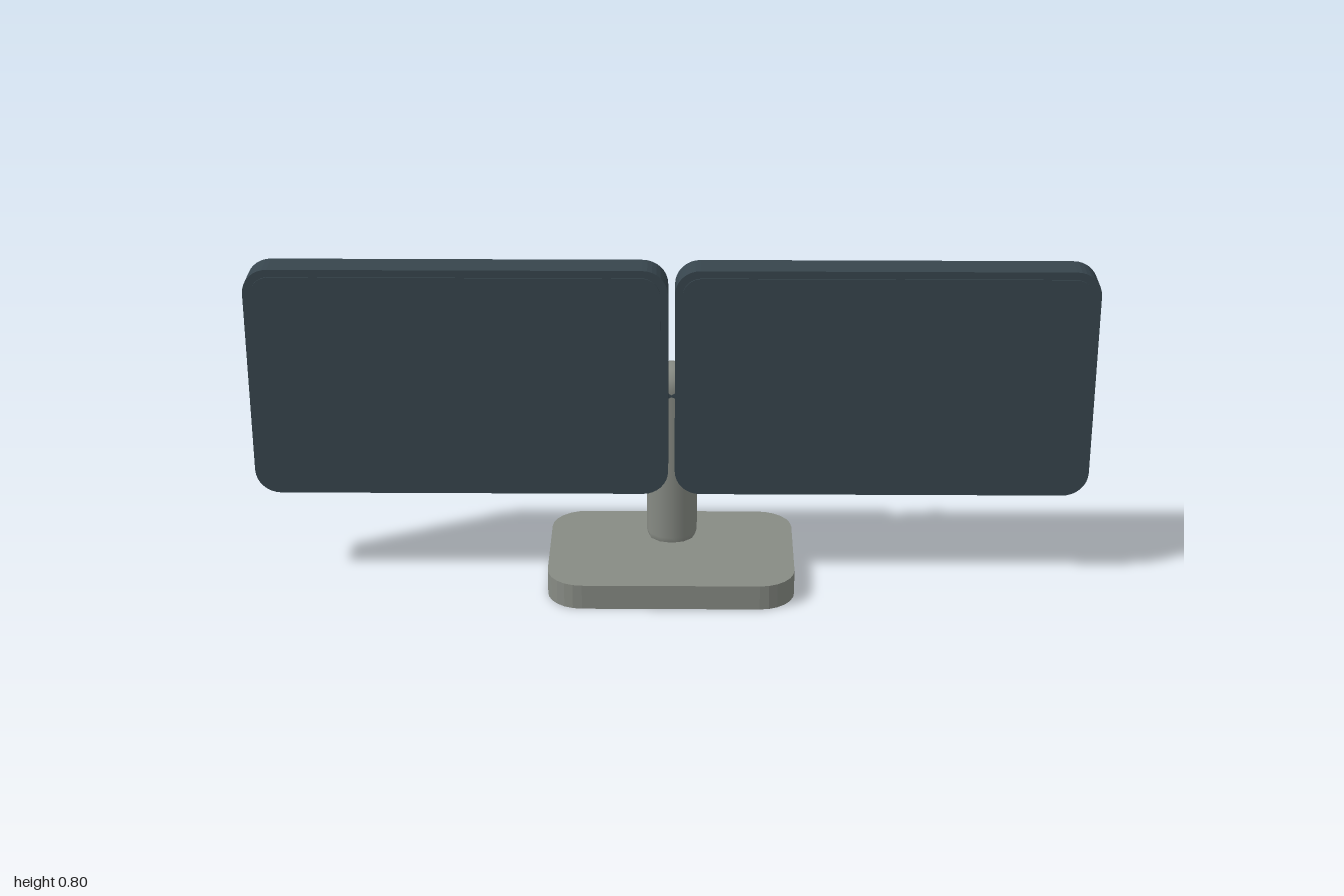
import * as THREE from 'three';

const charcoal = new THREE.MeshStandardMaterial({ color: 0x37454d });
charcoal.name = 'charcoal';
const warmGrey = new THREE.MeshStandardMaterial({ color: 0x878b84 });
warmGrey.name = 'warm grey';

// Rounded rectangle centred on the origin, extruded along z from 0 to depth
function roundedSlab(w, h, r, depth, segments) {
  const x = w / 2, y = h / 2;
  const s = new THREE.Shape();
  s.moveTo(-x + r, -y);
  s.lineTo(x - r, -y);
  s.absarc(x - r, -y + r, r, -Math.PI / 2, 0, false);
  s.absarc(x - r, y - r, r, 0, Math.PI / 2, false);
  s.absarc(-x + r, y - r, r, Math.PI / 2, Math.PI, false);
  s.absarc(-x + r, -y + r, r, Math.PI, Math.PI * 1.5, false);
  return new THREE.ExtrudeGeometry(s, { depth, bevelEnabled: false, curveSegments: segments });
}

function add(parent, name, geometry, material, x, y, z) {
  const mesh = new THREE.Mesh(geometry, material);
  mesh.name = name;
  mesh.position.set(x, y, z);
  parent.add(mesh);
  return mesh;
}

export function createModel() {
  const model = new THREE.Group();
  model.name = 'dualMonitorStand';

  // Foot plate lying flat
  const base = roundedSlab(0.594, 0.4, 0.085, 0.062, 3);
  base.rotateX(-Math.PI / 2);
  add(model, 'base', base, warmGrey, 0, 0, 0);

  // Upright post with a domed top, its lower end sunk into the base
  const post = new THREE.CapsuleGeometry(0.056, 0.39, 3, 12);
  post.scale(1.1, 1, 1);
  add(model, 'post', post, warmGrey, 0, 0.271, -0.078);

  // Horizontal arm behind both panels
  const arm = new THREE.CapsuleGeometry(0.047, 1.066, 3, 8);
  arm.rotateZ(Math.PI / 2);
  add(model, 'arm', arm, charcoal, 0, 0.457, -0.068);

  // Two mirrored monitors, each with a slightly raised screen
  for (const side of [-1, 1]) {
    const monitor = new THREE.Group();
    monitor.name = side > 0 ? 'leftMonitor' : 'rightMonitor';
    monitor.position.set(side * 0.504, 0.513, 0);
    add(monitor, 'housing', roundedSlab(0.992, 0.574, 0.06, 0.074, 4), charcoal, 0, 0, -0.037);
    add(monitor, 'screen', roundedSlab(0.956, 0.538, 0.045, 0.004, 4), charcoal, 0, 0, 0.036);
    model.add(monitor);
  }
  return model;
}
